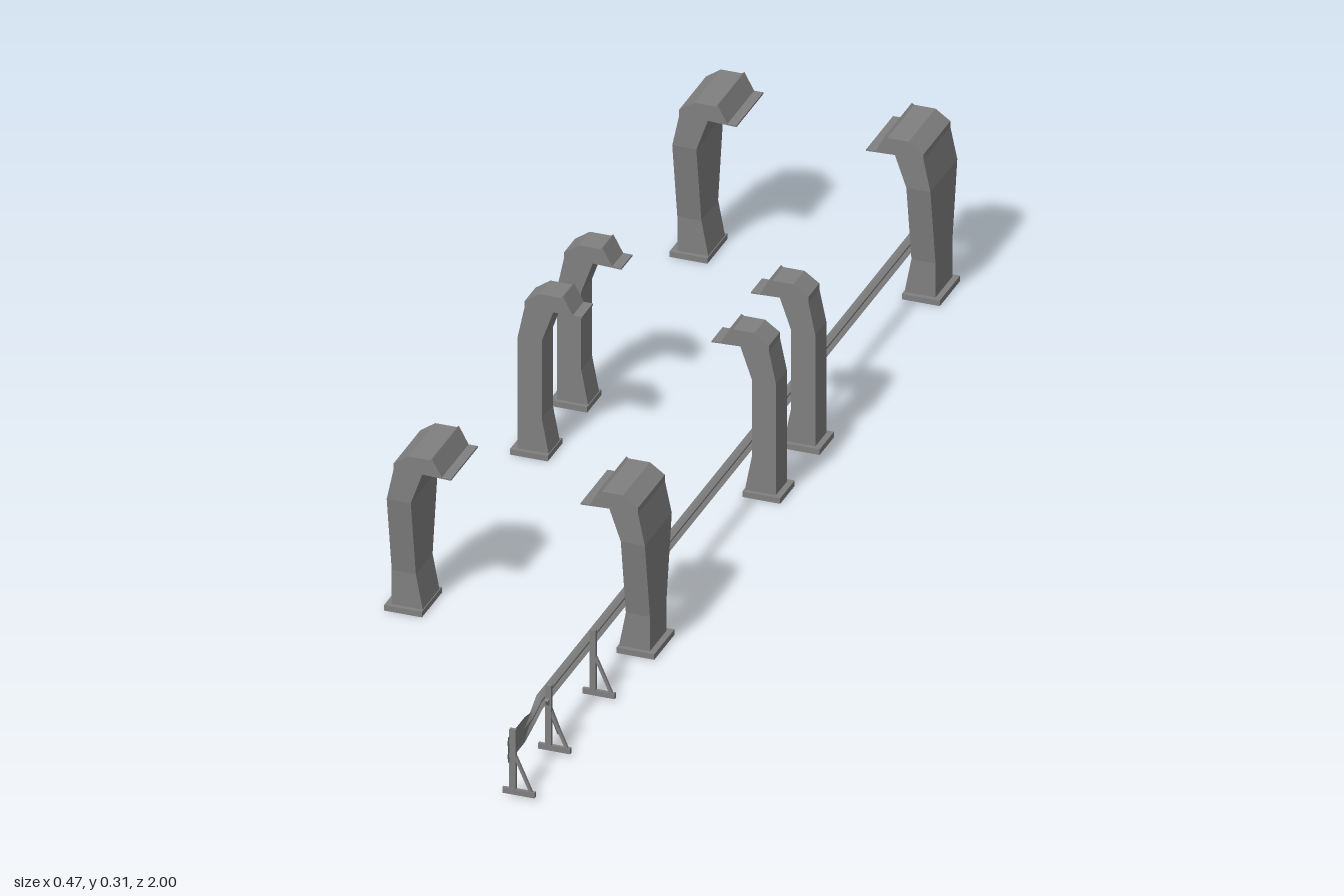
import * as THREE from 'three';

const grey = new THREE.MeshStandardMaterial({ color: 0x808080, side: THREE.DoubleSide });
grey.name = 'grey metal';

function add(parent, name, geometry) {
  const mesh = new THREE.Mesh(geometry, grey);
  mesh.name = name;
  parent.add(mesh);
  return mesh;
}

function box(parent, name, x0, x1, y0, y1, z, depth) {
  const mesh = add(parent, name, new THREE.BoxGeometry(x1 - x0, y1 - y0, depth));
  mesh.position.set((x0 + x1) / 2, (y0 + y1) / 2, z);
}

// Extrudes an x/y outline along z, with a half width that depends on height
function slab(outline, side, halfWidth) {
  const shape = new THREE.Shape(outline.map(([x, y]) => new THREE.Vector2(x * side, y)));
  const g = new THREE.ExtrudeGeometry(shape, { depth: 1, bevelEnabled: false });
  const p = g.attributes.position;
  for (let i = 0; i < p.count; i++) {
    p.setZ(i, (p.getZ(i) > 0.5 ? 1 : -1) * halfWidth(p.getY(i)));
  }
  g.computeVertexNormals();
  return g;
}

const FOOT = [[0.171, 0.01], [0.225, 0.01], [0.225, 0.073], [0.183, 0.073]];
const SHAFT = [[0.183, 0.073], [0.225, 0.073], [0.225, 0.216], [0.183, 0.216]];
const HOOD = [
  [0.183, 0.216], [0.225, 0.216], [0.213, 0.273], [0.213, 0.284], [0.187, 0.302],
  [0.15, 0.302], [0.146, 0.305], [0.129, 0.274], [0.113, 0.274], [0.113, 0.271], [0.163, 0.273],
];

// Hooked pillar, its hood reaching towards the centre line
function pillar(side, z, low, high, baseHalf) {
  const group = new THREE.Group();
  group.name = 'pillar';
  const half = y => THREE.MathUtils.lerp(low, high, THREE.MathUtils.clamp((y - 0.073) / 0.143, 0, 1));
  add(group, 'pillarFoot', slab(FOOT, side, half));
  add(group, 'pillarShaft', slab(SHAFT, side, half));
  add(group, 'pillarHood', slab(HOOD, side, half));
  const mid = side * 0.2025;
  box(group, 'basePlate', mid - 0.033, mid + 0.033, 0, 0.01, 0, baseHalf * 2);
  group.position.z = z;
  return group;
}

// Corrugated sheet swept through stations along z
function railGeometry() {
  // [inward ripple, height fraction]
  const wave = [[0, 0], [0.3, 0.06], [1, 0.18], [1, 0.3], [0.1, 0.44], [0.1, 0.56], [1, 0.7], [1, 0.82], [0.3, 0.94], [0, 1]];
  // z, back x, ripple depth, bottom, top
  const stations = [
    [-1, 0.178, 0.01, 0.078, 0.108], [0.83, 0.178, 0.01, 0.078, 0.108],
    [0.86, 0.18, 0.008, 0.073, 0.102], [0.885, 0.182, 0.005, 0.071, 0.103],
    [0.925, 0.184, 0.001, 0.066, 0.113], [1, 0.184, 0.001, 0.066, 0.113],
  ];
  const pos = [], idx = [], n = wave.length;
  for (const [z, x, d, y0, y1] of stations) {
    for (const [r, f] of wave) pos.push(x - d * r, y0 + (y1 - y0) * f, z);
  }
  for (let s = 0; s < stations.length - 1; s++) {
    for (let i = 0; i < n - 1; i++) {
      const a = s * n + i, b = a + n;
      idx.push(a, b, a + 1, b, b + 1, a + 1);
    }
  }
  const g = new THREE.BufferGeometry();
  g.setAttribute('position', new THREE.Float32BufferAttribute(pos, 3));
  g.setIndex(idx);
  const flat = g.toNonIndexed();
  flat.computeVertexNormals();
  return flat;
}

// Square bar between two points
function bar(parent, name, from, to, size) {
  const a = new THREE.Vector3(...from), b = new THREE.Vector3(...to);
  const mesh = add(parent, name, new THREE.BoxGeometry(size, size, a.distanceTo(b)));
  mesh.position.copy(a).lerp(b, 0.5);
  mesh.lookAt(b);
}

function railPost(z) {
  const group = new THREE.Group();
  group.name = 'railPost';
  box(group, 'postUpright', 0.183, 0.194, 0.008, 0.125, 0, 0.006);
  box(group, 'postFoot', 0.171, 0.227, 0.005, 0.015, 0, 0.006);
  bar(group, 'postBrace', [0.193, 0.075, 0], [0.222, 0.01, 0], 0.005);
  group.position.z = z;
  return group;
}

export function createModel() {
  const model = new THREE.Group();
  model.name = 'pillarsAndRail';

  // Two rows of pillars: wide at the ends, a narrow pair in the middle
  for (const side of [-1, 1]) {
    for (const z of [0.425, -0.872]) model.add(pillar(side, z, 0.038, 0.061, 0.046));
    for (const z of [-0.134, -0.313]) model.add(pillar(side, z, 0.025, 0.025, 0.033));
  }

  // Guard rail with its posts
  add(model, 'guardRail', railGeometry());
  for (const z of [0.99, 0.828, 0.626]) model.add(railPost(z));
  bar(model, 'railStrut', [0.188, 0.1, 0.835], [0.188, 0.01, 0.777], 0.006);

  return model;
}
